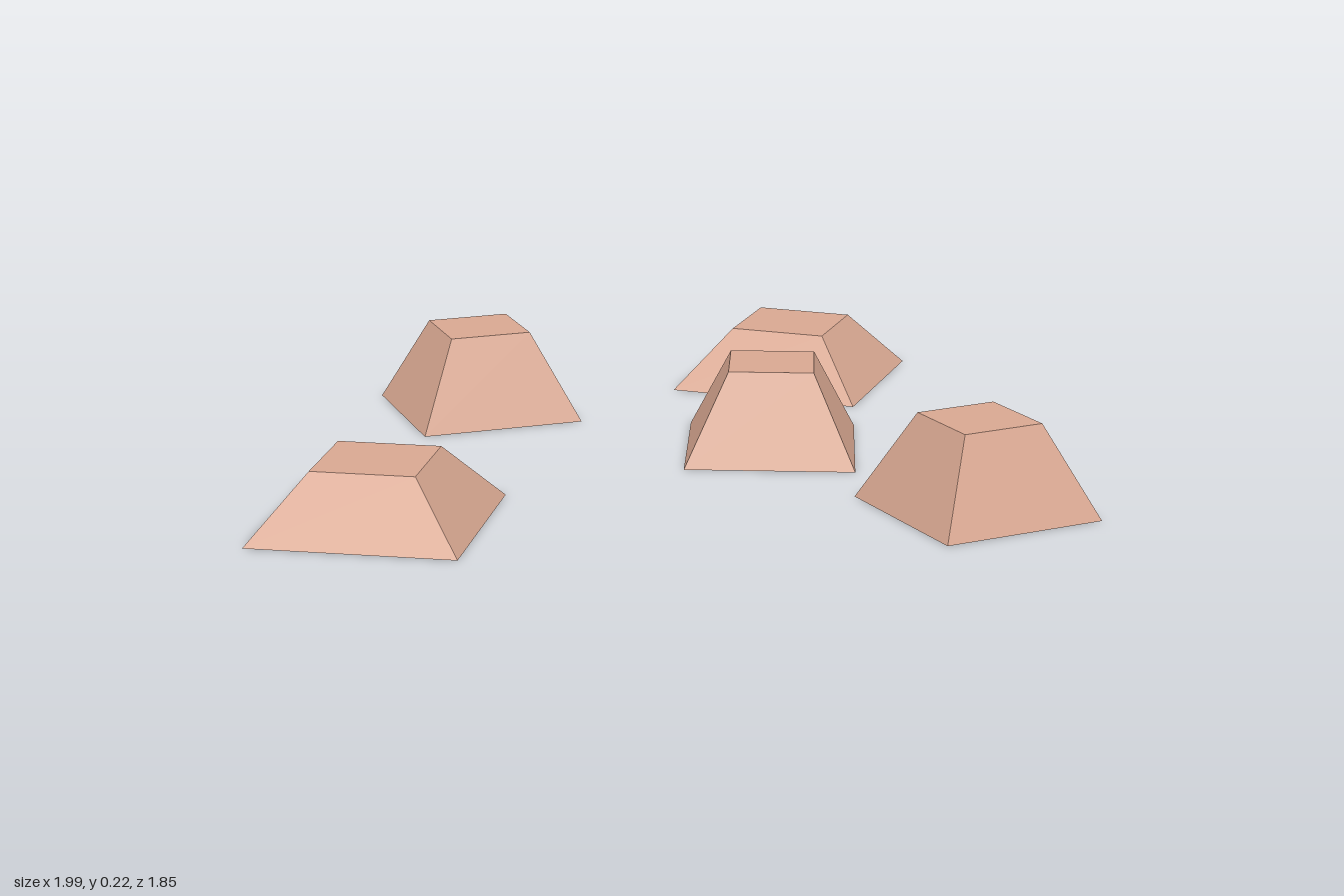
import * as THREE from 'three';

export function createModel() {
  const group = new THREE.Group();
  group.name = 'scatteredBlocks';
  const clay = new THREE.MeshStandardMaterial({ color: 0xd9a892, flatShading: true });
  clay.name = 'pale clay';

  // Square frustum whose top is half as wide as its base
  function frustum(side, height) {
    const r = side / Math.SQRT2;
    const g = new THREE.CylinderGeometry(r / 2, r, height, 4, 1);
    g.rotateY(Math.PI / 4);
    g.translate(0, height / 2, 0);
    return g;
  }
  const low = frustum(0.502, 0.152);
  const tall = frustum(0.422, 0.223);

  // name, shape, x, z, turn in degrees
  const blocks = [
    ['lowBlockFront', low, -0.69, 0.612, -14.8],
    ['lowBlockBack', low, 0.44, -0.596, -24.6],
    ['tallBlockBack', tall, -0.418, -0.337, 14.8],
    ['tallBlockMiddle', tall, 0.301, 0.087, -8.1],
    ['tallBlockFront', tall, 0.722, 0.639, 21.4],
  ];
  for (const [name, geometry, x, z, turn] of blocks) {
    const mesh = new THREE.Mesh(geometry, clay);
    mesh.name = name;
    mesh.position.set(x, 0, z);
    mesh.rotation.y = THREE.MathUtils.degToRad(turn);
    group.add(mesh);
  }
  return group;
}
